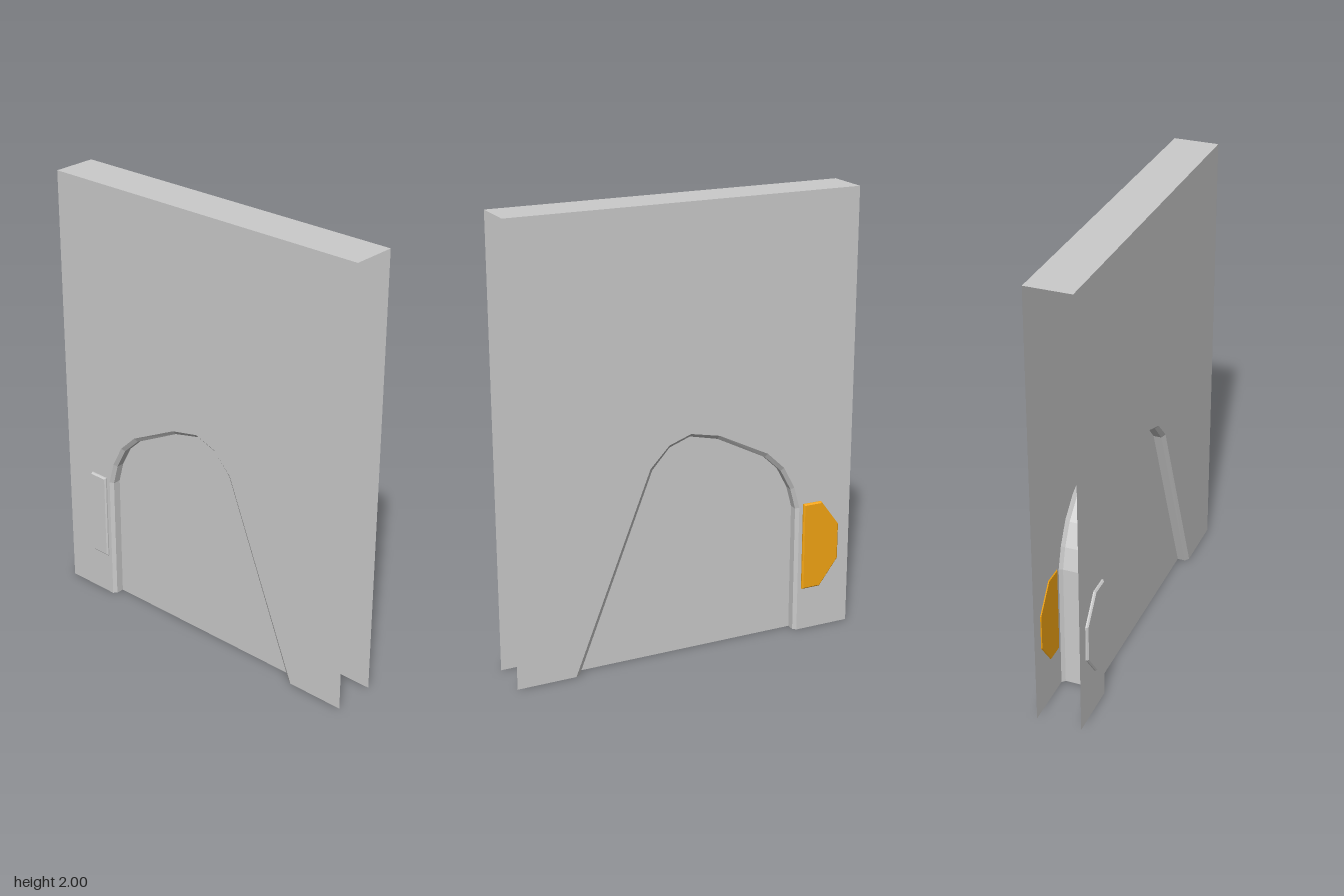
import * as THREE from 'three';

const grey = new THREE.MeshStandardMaterial({ color: 0xcccccc, side: THREE.DoubleSide });
const orange = new THREE.MeshStandardMaterial({ color: 0xf5a614, side: THREE.DoubleSide });

const HALF_W = 0.8, HEIGHT = 2, HALF_D = 0.1;
const JAMB_Z = 0.086, DOOR_Z = 0.05;

// Doorway outline at the wall face, and the smaller one inside the chamfer
const outer = [[-0.543, 0], [-0.543, 0.59], [-0.515, 0.69], [-0.462, 0.79], [-0.38, 0.868],
  [-0.145, 0.985], [-0.01, 1.013], [0.092, 0.977], [0.18, 0.885], [0.533, 0]];
const inner = [[-0.529, 0], [-0.529, 0.585], [-0.503, 0.68], [-0.452, 0.775], [-0.372, 0.85],
  [-0.14, 0.968], [-0.01, 0.998], [0.085, 0.963], [0.165, 0.875], [0.512, 0]];
const hatchOutline = [[-0.56, 0.2], [-0.56, 0.606], [-0.65, 0.606], [-0.74, 0.485], [-0.74, 0.32], [-0.65, 0.2]];

const toShape = (pts) => new THREE.Shape(pts.map(([x, y]) => new THREE.Vector2(x, y)));

function add(parent, name, geometry, material = grey) {
  const mesh = new THREE.Mesh(geometry, material);
  mesh.name = name;
  parent.add(mesh);
  return mesh;
}

// Strips joining cross-sections, each a list of points at one depth
function loft(sections) {
  const pos = [];
  for (let s = 0; s < sections.length - 1; s++) {
    const a = sections[s], b = sections[s + 1];
    for (let i = 0; i < a.pts.length - 1; i++) {
      const p = [...a.pts[i], a.z], q = [...a.pts[i + 1], a.z];
      const r = [...b.pts[i + 1], b.z], t = [...b.pts[i], b.z];
      pos.push(...p, ...q, ...r, ...p, ...r, ...t);
    }
  }
  const g = new THREE.BufferGeometry();
  g.setAttribute('position', new THREE.Float32BufferAttribute(pos, 3));
  g.computeVertexNormals();
  return g;
}

export function createModel() {
  const group = new THREE.Group();
  group.name = 'wallWithDoor';

  // Wall skins, notched around the doorway; the ends and base stay open
  const wallShape = toShape([[-HALF_W, 0], ...outer, [HALF_W, 0], [HALF_W, HEIGHT], [-HALF_W, HEIGHT]]);
  const doorShape = toShape(inner);
  for (const [side, dir] of [['Front', 1], ['Back', -1]]) {
    add(group, `wall${side}`, new THREE.ShapeGeometry(wallShape)).position.z = dir * HALF_D;
    // Recessed door leaf
    add(group, `door${side}`, new THREE.ShapeGeometry(doorShape)).position.z = dir * DOOR_Z;
  }

  // Top of the wall
  const top = add(group, 'wallTop', new THREE.PlaneGeometry(HALF_W * 2, HALF_D * 2));
  top.rotation.x = -Math.PI / 2;
  top.position.y = HEIGHT;

  // Chamfered jamb running through the wall
  add(group, 'doorJamb', loft([
    { pts: outer, z: HALF_D }, { pts: inner, z: JAMB_Z },
    { pts: inner, z: -JAMB_Z }, { pts: outer, z: -HALF_D },
  ]));

  // Control panels beside the door, one per face, with a small bevel
  const panel = new THREE.ExtrudeGeometry(toShape(hatchOutline), {
    depth: 0.006, bevelEnabled: true, bevelThickness: 0.006, bevelSize: 0.006, bevelOffset: -0.006, bevelSegments: 1,
  });
  add(group, 'controlPanelFront', panel).position.z = 0.1;
  add(group, 'controlPanelBack', panel, orange).position.z = -0.108;

  return group;
}
